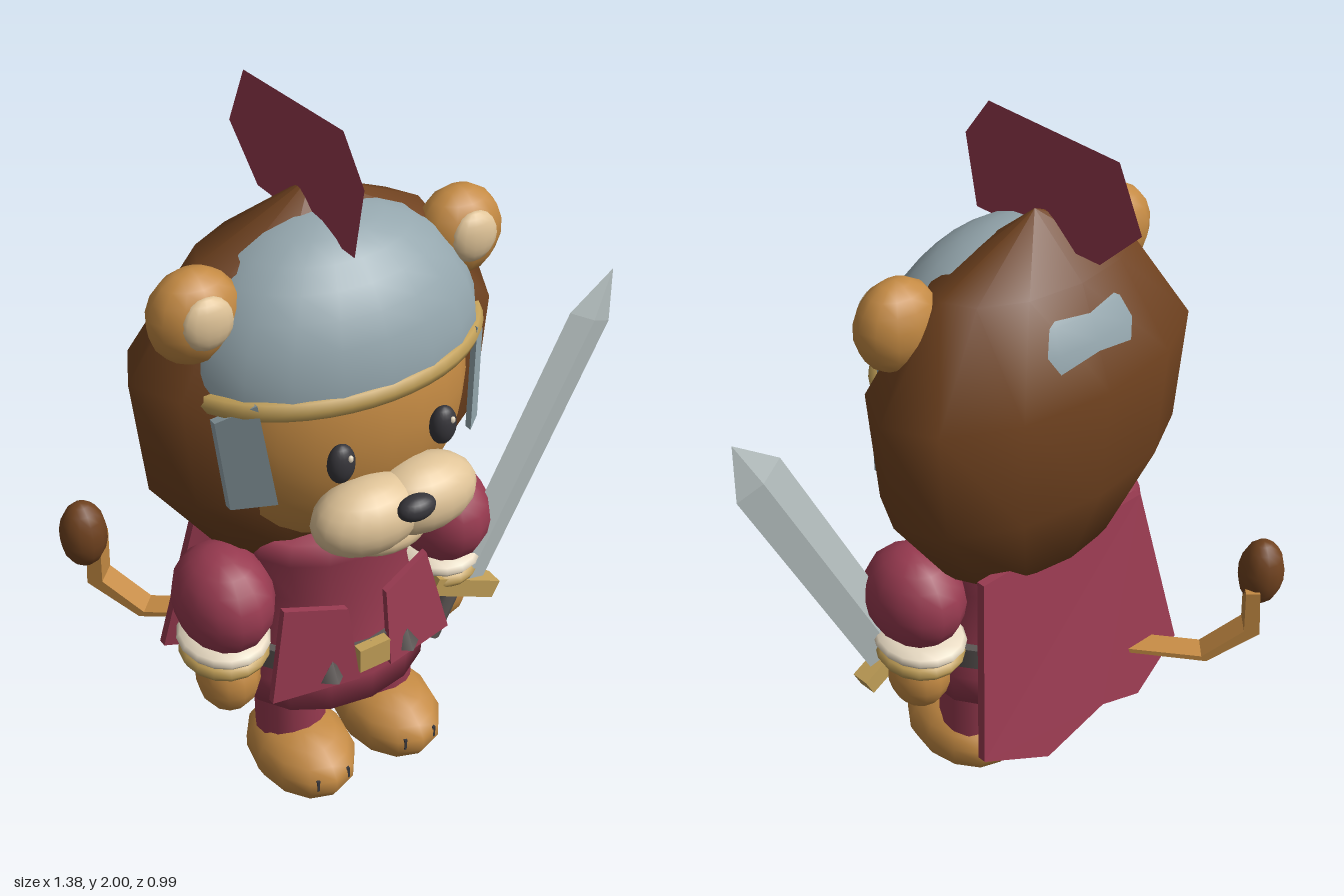
import * as THREE from 'three';

const mat = (name, color, side = THREE.FrontSide) => {
  const m = new THREE.MeshStandardMaterial({ color, side });
  m.name = name;
  return m;
};

export function createModel() {
  const brown = mat('maneBrown', 0x70421f);
  const fur = mat('goldenFur', 0xc48a43);
  const crimson = mat('crimsonCloth', 0x983a50, THREE.DoubleSide);
  const cream = mat('cream', 0xe0c498);
  const gold = mat('brass', 0xc2a058);
  const steel = mat('helmetSteel', 0x94a6ad);
  const silver = mat('bladeSilver', 0xb8c2c2);
  const dark = mat('charcoal', 0x37363b);
  const linen = mat('linen', 0xeadcc4);
  const leather = mat('greyLeather', 0x5c5654);

  const root = new THREE.Group();
  root.name = 'lionKnight';
  // Everything is built around x = 0, then shifted to balance the sword
  root.position.x = -0.13;

  const add = (name, geo, material, pos = [0, 0, 0], parent = root) => {
    const m = new THREE.Mesh(geo, material);
    m.name = name;
    m.position.set(...pos);
    parent.add(m);
    return m;
  };
  const ball = (name, material, pos, r, w = 18, h = 12) =>
    add(name, new THREE.SphereGeometry(1, w, h).scale(...r), material, pos);
  const shapeOf = (pts) => new THREE.Shape(pts.map(([x, y]) => new THREE.Vector2(x, y)));
  const extrude = (pts, depth) => new THREE.ExtrudeGeometry(shapeOf(pts), { depth, bevelEnabled: false });
  // Flat panel whose depth follows a rule of x and y
  const plate = (name, material, pts, depth, zOf) => {
    const g = extrude(pts, depth);
    const p = g.attributes.position;
    for (let i = 0; i < p.count; i++) p.setZ(i, p.getZ(i) + zOf(p.getX(i), p.getY(i)));
    g.computeVertexNormals();
    return add(name, g, material);
  };
  const lathe = (name, material, pts, sx, sz, z, seg) =>
    add(name, new THREE.LatheGeometry(pts.map(([r, y]) => new THREE.Vector2(r, y)), seg).scale(sx, 1, sz),
      material, [0, 0, z]);

  // Mane and head
  lathe('mane', brown, [[0, 0.74], [0.58, 0.81], [0.94, 1.07], [1, 1.39], [0.61, 1.655], [0, 1.795]],
    0.515, 0.275, 0, 12);
  ball('head', fur, [0, 1.25, 0.05], [0.38, 0.42, 0.31], 24, 16);

  // Helmet dome, brow band and crest
  add('helmet', new THREE.SphereGeometry(1, 20, 8, 0, Math.PI * 2, 0, Math.PI / 2).scale(0.415, 0.362, 0.305),
    steel, [0, 1.38, 0.055]);
  add('browBand', new THREE.TorusGeometry(1, 0.085, 8, 24, Math.PI).rotateX(Math.PI / 2).scale(0.4, 0.38, 0.292),
    gold, [0, 1.38, 0.05]);
  add('crest', new THREE.ShapeGeometry(shapeOf([[0.245, 1.7], [0.285, 1.89], [0.2, 2], [-0.24, 1.985],
    [-0.32, 1.825], [-0.19, 1.7]])).rotateY(-Math.PI / 2), crimson, [-0.035, 0, 0]);

  // Face
  ball('nose', dark, [0, 1.107, 0.463], [0.053, 0.033, 0.034]);
  ball('chin', cream, [0, 0.958, 0.335], [0.12, 0.055, 0.075]);

  // Tunic, belt and buckle
  lathe('tunic', crimson, [[0, 0.335], [0.97, 0.335], [1, 0.43], [0.9, 0.5], [0.78, 0.68], [0.9, 0.82],
    [0.84, 0.88], [0, 0.9]], 0.283, 0.212, 0.072, 14);
  add('belt', new THREE.CylinderGeometry(1, 1, 0.065, 20).scale(0.274, 1, 0.2), leather, [0, 0.5, 0.07]);
  add('buckle', new THREE.BoxGeometry(0.095, 0.075, 0.03), gold, [0, 0.495, 0.277]);

  for (const s of [-1, 1]) {
    const mx = (pts) => pts.map(([x, y]) => [s * x, y]);
    // Ears, eyes, muzzle and cheek guards
    ball('ear', fur, [s * 0.375, 1.582, 0.088], [0.12, 0.122, 0.088], 12, 9);
    ball('innerEar', cream, [s * 0.375, 1.592, 0.153], [0.068, 0.069, 0.034], 14, 10);
    ball('eye', dark, [s * 0.148, 1.233, 0.359], [0.037, 0.054, 0.028]);
    ball('eyeGlint', linen, [s * 0.148 + 0.012, 1.255, 0.382], [0.008, 0.01, 0.006], 8, 6);
    ball('muzzle', cream, [s * 0.08, 1.062, 0.37], [0.154, 0.1, 0.102]);
    plate('cheekGuard', steel, mx([[0.315, 1.405], [0.39, 1.34], [0.37, 1.09], [0.285, 1.125]]), 0.022,
      (x) => 0.263 - Math.abs(x) + 0.293);

    // Tunic front panels and studs
    plate('tunicPanel', crimson, mx([[0.06, 0.66], [0.225, 0.69], [0.285, 0.42], [0.05, 0.44]]), 0.02,
      (x, y) => 0.275 - 0.17 * (y - 0.43) - 0.28 * Math.max(0, Math.abs(x) - 0.05));
    const stud = add('stud', new THREE.ConeGeometry(0.038, 0.06, 4), leather, [s * 0.12, 0.487, 0.268]);
    stud.scale.z = 0.8;

    // Arms
    ball('sleeve', crimson, [s * 0.345, 0.725, 0.095], [0.13, 0.148, 0.158], 14, 10);
    ball('linenCuff', linen, [s * 0.342, 0.583, 0.08], [0.122, 0.036, 0.14], 16, 8);
    ball('bracer', gold, [s * 0.342, 0.54, 0.08], [0.12, 0.046, 0.132], 16, 8);
    ball('hand', fur, [s * 0.34, 0.45, 0.09], [0.087, 0.108, 0.093], 12, 9);

    // Legs and paws
    add('leg', new THREE.CylinderGeometry(0.1, 0.1, 0.24, 14), crimson, [s * 0.145, 0.29, 0.08]);
    ball('paw', fur, [s * 0.145, 0.11, 0.132], [0.14, 0.11, 0.195], 12, 9);
    for (const t of [-1, 1])
      add('toeLine', new THREE.BoxGeometry(0.009, 0.036, 0.02), dark, [s * 0.145 + t * 0.048, 0.12, 0.297]);
  }

  // Cape
  plate('cape', crimson, [[-0.3, 0.86], [-0.385, 0.35], [-0.2, 0.255], [-0.05, 0.305], [0.17, 0.25],
    [0.385, 0.35], [0.3, 0.86]], 0.025, (x, y) => -0.152 - 0.19 * (0.86 - y) + 0.06 * Math.abs(x));

  // Tail: a bent ribbon ending in a tuft
  add('tail', extrude([[0, 0.425], [0.375, 0.372], [0.52, 0.475], [0.51, 0.62], [0.47, 0.62],
    [0.475, 0.485], [0.36, 0.39], [0, 0.437]], 0.075).translate(0, 0, -0.0375).rotateY(2.377),
    fur, [-0.1, 0, -0.095]);
  ball('tailTuft', brown, [-0.495, 0.65, -0.43], [0.068, 0.105, 0.065], 12, 9);

  // Sword
  const sword = new THREE.Group();
  sword.name = 'sword';
  sword.position.set(0.372, 0.49, 0.168);
  sword.rotation.set(0.025, 0, -0.46);
  root.add(sword);
  const facet = (g) => {
    const f = g.toNonIndexed();
    f.computeVertexNormals();
    return f;
  };
  add('blade', facet(new THREE.CylinderGeometry(0.078, 0.075, 0.85, 4).scale(1, 1, 0.27)), silver,
    [0, 0.425, 0], sword);
  add('bladeTip', facet(new THREE.ConeGeometry(0.078, 0.145, 4).scale(1, 1, 0.27)), silver, [0, 0.9225, 0], sword);
  add('guard', new THREE.BoxGeometry(0.24, 0.055, 0.055), gold, [0, 0, 0], sword);
  add('grip', new THREE.CylinderGeometry(0.027, 0.03, 0.16, 8), leather, [-0.03, -0.09, 0], sword);

  return root;
}
